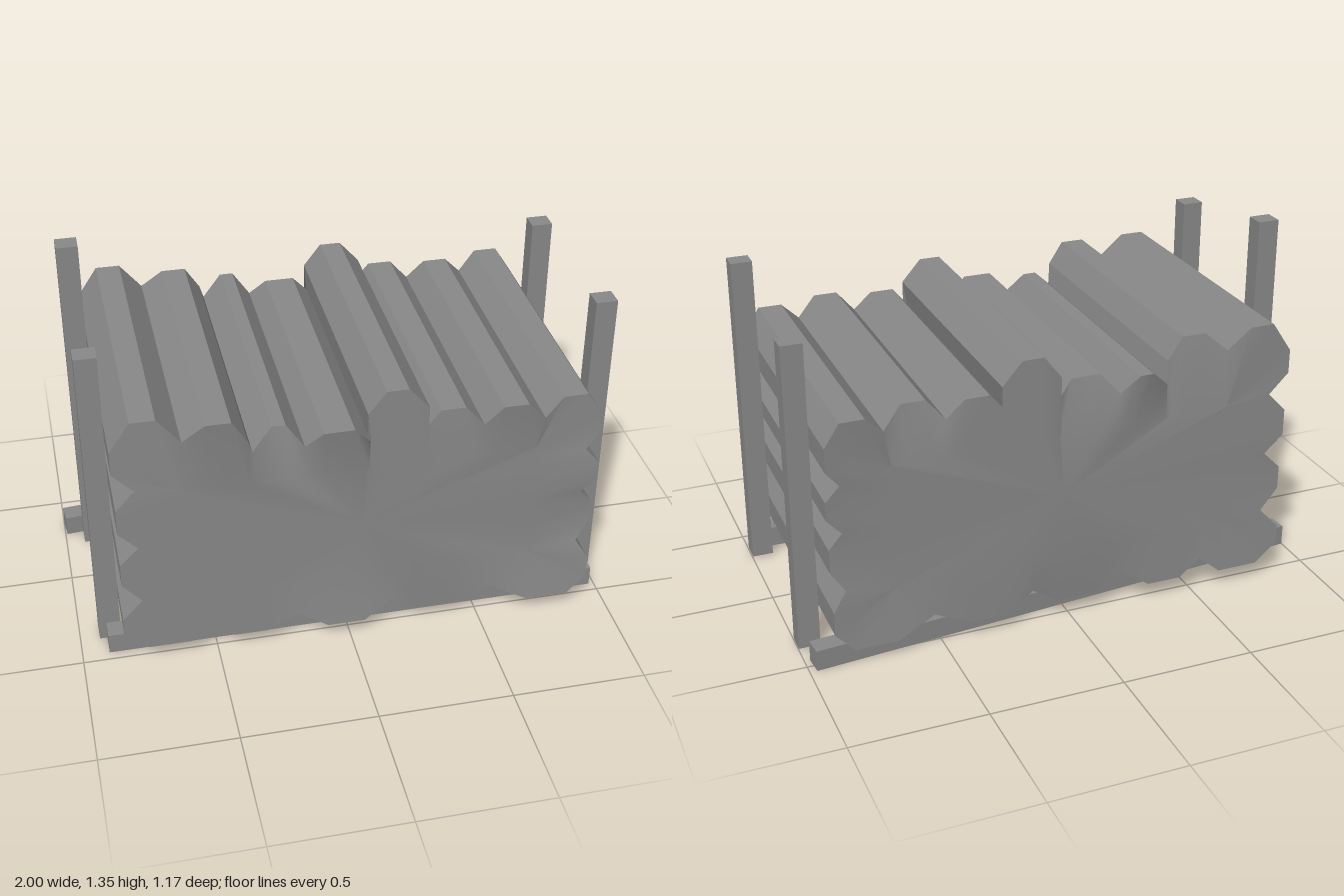
import * as THREE from 'three';
import { mergeGeometries } from 'three/addons/utils/BufferGeometryUtils.js';

const material = new THREE.MeshStandardMaterial({ color: 0x888888 });

// One side of the stack. Each log shows a flat facet: [start, end, level, front z, back z,
// bulge before, bulge after]; a notch of the given depth is cut midway between neighbours.
// 'inward' is the sign of the direction into the stack.
function stackSide(logs, vertical, inward, depth) {
  const points = [];
  const put = (along, level, front, back) => points.push({
    x: vertical ? level : along, y: vertical ? along : level, front, back,
  });
  logs.forEach(([start, end, level, front, back, before = 0, after = 0], i) => {
    const direction = Math.sign(end - start);
    const shoulder = level + inward * 0.085;
    if (before) put(start - direction * before, shoulder, front, back);
    put(start, level, front, back);
    put(end, level, front, back);
    if (after) put(end + direction * after, shoulder, front, back);
    const next = logs[i + 1];
    if (next) {
      const lowest = inward > 0 ? Math.max(level, next[2]) : Math.min(level, next[2]);
      put((end + next[0]) / 2, lowest + inward * depth, (front + next[3]) / 2, (back + next[4]) / 2);
    }
  });
  return points;
}

// Whole outline, counter-clockwise from the bottom left
function stackOutline() {
  const bottom = stackSide([
    [-0.76, -0.60, 0.075, 0.55, -0.56],
    [-0.44, -0.31, 0.075, 0.55, -0.55],
    [-0.09, 0.05, 0.075, 0.57, -0.53],
    [0.26, 0.40, 0.075, 0.54, -0.55],
    [0.68, 0.84, 0.075, 0.58, -0.57],
  ], false, 1, 0.07);
  const leftSide = stackSide([
    [0.15, 0.24, 0.91, 0.58, -0.57],
    [0.39, 0.48, 0.912, 0.545, -0.55],
    [0.60, 0.67, 0.918, 0.57, -0.56],
    [0.785, 0.875, 0.915, 0.545, -0.57],
  ], true, -1, 0.048);
  const top = stackSide([
    [0.86, 0.77, 0.96, 0.545, -0.57],
    [0.63, 0.54, 0.967, 0.575, -0.515],
    [0.41, 0.32, 0.962, 0.54, -0.55],
    [0.20, 0.12, 1.07, 0.545, -0.55, 0.075, 0.065],
    [0.0, -0.11, 0.955, 0.585, -0.51],
    [-0.23, -0.28, 0.96, 0.51, -0.59],
    [-0.43, -0.52, 1.047, 0.585, -0.51, 0.055],
    [-0.68, -0.77, 1.063, 0.54, -0.56],
  ], false, -1, 0.07);
  const rightSide = stackSide([
    [0.95, 0.86, -0.845, 0.54, -0.56],
    [0.71, 0.61, -0.84, 0.55, -0.56],
    [0.47, 0.38, -0.84, 0.55, -0.55],
    [0.22, 0.15, -0.845, 0.55, -0.56],
  ], true, 1, 0.07);
  return [...bottom, ...leftSide, ...top, ...rightSide];
}

function indexedGeometry(positions, index) {
  const geometry = new THREE.BufferGeometry();
  geometry.setAttribute('position', new THREE.Float32BufferAttribute(positions, 3));
  geometry.setIndex(index);
  return geometry;
}

// Faceted bark running from front to back
function barkGeometry(outline) {
  const n = outline.length, index = [];
  const positions = ['front', 'back'].flatMap((end) => outline.flatMap((p) => [p.x, p.y, p[end]]));
  for (let i = 0; i < n; i++) {
    const j = (i + 1) % n;
    index.push(i, n + i, j, j, n + i, n + j);
  }
  const geometry = indexedGeometry(positions, index).toNonIndexed();
  geometry.computeVertexNormals();
  return geometry;
}

// Softly uneven sawn end: a flat middle rectangle joined to the outline by a ring
function sawnEndGeometry(outline, end, middleZ) {
  const n = outline.length, index = [];
  const positions = [
    ...outline.flatMap((p) => [p.x, p.y, p[end]]),
    ...outline.flatMap((p) => [
      THREE.MathUtils.clamp(p.x, -0.6, 0.68), THREE.MathUtils.clamp(p.y, 0.28, 0.76), middleZ,
    ]),
    0.04, 0.52, middleZ,
  ];
  const triangle = (a, b, c) => index.push(...(end === 'front' ? [a, b, c] : [a, c, b]));
  for (let i = 0; i < n; i++) {
    const j = (i + 1) % n;
    triangle(i, j, n + i);
    triangle(j, n + j, n + i);
    triangle(n + i, n + j, 2 * n);
  }
  const geometry = indexedGeometry(positions, index);
  geometry.computeVertexNormals();
  return geometry.toNonIndexed();
}

export function createModel() {
  const model = new THREE.Group();
  model.name = 'firewoodRack';
  const add = (name, geometry) => {
    const mesh = new THREE.Mesh(geometry, material);
    mesh.name = name;
    model.add(mesh);
    return mesh;
  };

  const outline = stackOutline();
  add('logStack', mergeGeometries([
    barkGeometry(outline),
    sawnEndGeometry(outline, 'front', 0.55),
    sawnEndGeometry(outline, 'back', -0.55),
  ]));

  // upright posts: name, x, z, top height
  const posts = [
    ['frontRightPost', -0.888, 0.352, 1.24],
    ['backRightPost', -0.888, -0.245, 1.35],
    ['frontLeftPost', 0.96, 0.352, 1.235],
    ['backLeftPost', 0.96, -0.352, 1.185],
  ];
  for (const [name, x, z, top] of posts) {
    add(name, new THREE.BoxGeometry(0.08, top - 0.008, 0.073)).position.set(x, (top + 0.008) / 2, z);
  }

  // square rails: the front one straight, the back one lying slightly askew
  add('frontRail', new THREE.BoxGeometry(1.88, 0.08, 0.076)).position.set(0.04, 0.04, 0.426);
  const backRail = add('backRail', new THREE.BoxGeometry(1.98, 0.08, 0.074));
  backRail.position.set(-0.01, 0.04, -0.41);
  backRail.rotation.y = Math.atan2(0.18, 1.98);

  return model;
}
